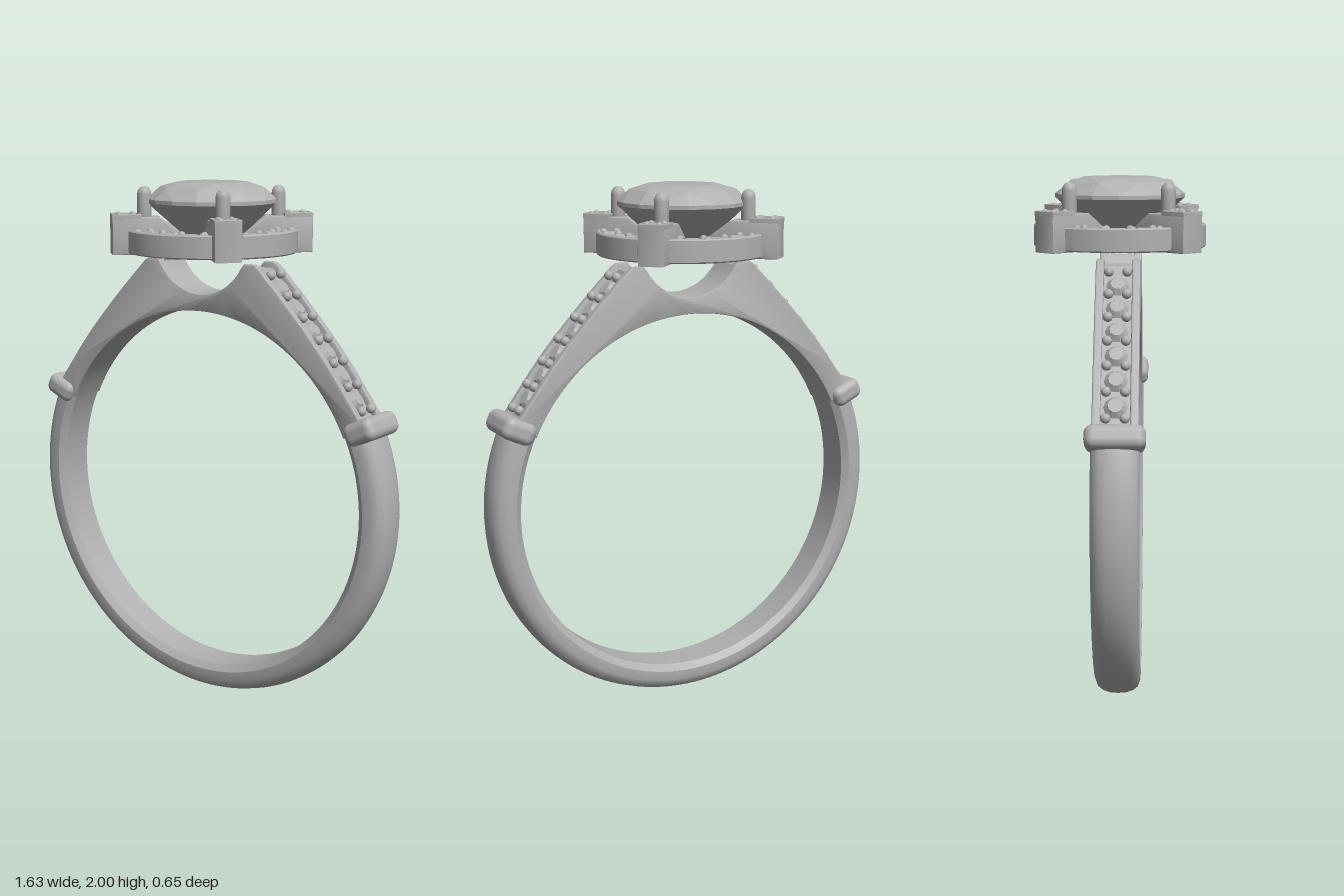
import * as THREE from 'three';
import { toCreasedNormals } from 'three/addons/utils/BufferGeometryUtils.js';
import { RoundedBoxGeometry } from 'three/addons/geometries/RoundedBoxGeometry.js';
import { ConvexGeometry } from 'three/addons/geometries/ConvexGeometry.js';

const CY = 0.815, INNER = 0.705, OUTER = 0.815, JOIN = THREE.MathUtils.degToRad(25);
const v2 = (x, y) => new THREE.Vector2(x, y);

export function createModel() {
  const ring = new THREE.Group();
  ring.name = 'ring';
  const metal = new THREE.MeshStandardMaterial({ color: 0xb0b0b0 });
  metal.name = 'grey metal';

  const add = (parent, name, geometry, x = 0, y = 0, z = 0) => {
    const mesh = new THREE.Mesh(geometry, metal);
    mesh.name = name;
    mesh.position.set(x, y, z);
    parent.add(mesh);
    return mesh;
  };
  const group = (parent, name) => {
    const g = new THREE.Group();
    g.name = name;
    parent.add(g);
    return g;
  };
  const extrude = (shape, depth, bevel) => {
    const g = new THREE.ExtrudeGeometry(shape, {
      depth: depth - 2 * bevel, bevelEnabled: bevel > 0, bevelSize: bevel,
      bevelThickness: bevel, bevelOffset: -bevel, bevelSegments: 2, curveSegments: 48,
    });
    g.translate(0, 0, bevel - depth / 2);
    return toCreasedNormals(g, 0.6);
  };
  const beadGeo = new THREE.SphereGeometry(0.018, 12, 8);
  const stoneGeo = toCreasedNormals(new THREE.CylinderGeometry(0.026, 0.043, 0.02, 10), 0.3);

  // Lower band: rounded section swept between the two collars
  const section = [[0.012, -0.075], [0.025, -0.085], [0.06, -0.085], [0.085, -0.075], [0.1, -0.055],
    [0.108, -0.03], [0.11, 0]];
  const profile = section.map(([r, h]) => v2(INNER + r, h));
  profile.push(...section.slice(0, -1).reverse().map(([r, h]) => v2(INNER + r, -h)));
  profile.push(v2(INNER, 0.065), v2(INNER, -0.065), profile[0].clone());
  const sweep = Math.PI / 2 + JOIN;
  const band = toCreasedNormals(new THREE.LatheGeometry(profile, 96, -sweep, 2 * sweep), 0.6);
  band.rotateX(Math.PI / 2);
  add(ring, 'band', band, 0, CY, 0);

  // Raised shoulders: a sunken core between two side rails
  const edge = new THREE.SplineCurve([v2(0.725, 1.16), v2(0.565, 1.375), v2(0.41, 1.55), v2(0.262, 1.7)]);
  const shoulderShape = (drop) => {
    const right = edge.getPoints(16).map((p) => v2(p.x - drop * 0.72, p.y - drop * 0.7));
    right.push(v2(0.245, 1.71 - drop), v2(0.2, 1.71 - drop));
    const scoop = [];
    for (let i = 1; i < 24; i++) {
      const a = -0.43 - (Math.PI - 0.86) * (i / 24);
      scoop.push(v2(0.215 * Math.cos(a), 1.8 + 0.215 * Math.sin(a)));
    }
    const left = right.map((p) => v2(-p.x, p.y)).reverse();
    const inner = [];
    for (let i = 0; i <= 48; i++) {
      const a = Math.PI - JOIN - (Math.PI - 2 * JOIN) * (i / 48);
      inner.push(v2(INNER * Math.cos(a), CY + INNER * Math.sin(a)));
    }
    return new THREE.Shape([...right, ...scoop, ...left, ...inner]);
  };
  add(ring, 'shoulderCore', extrude(shoulderShape(0.022), 0.12, 0));
  for (const s of [-1, 1]) add(ring, 'shoulderRail', extrude(shoulderShape(0), 0.03, 0.007), 0, 0, s * 0.066);

  for (const s of [-1, 1]) {
    // Collars
    const collar = add(ring, 'collar', new RoundedBoxGeometry(0.13, 0.085, 0.212, 4, 0.032),
      s * 0.782 * Math.cos(JOIN), CY + 0.782 * Math.sin(JOIN), 0);
    collar.rotation.z = s * JOIN;

    // Stones and gripping beads set along each shoulder
    const row = group(ring, 'shoulderStones');
    for (let i = 0; i < 13; i++) {
      const t = 0.09 + i * 0.071;
      const p = edge.getPointAt(t), d = edge.getTangentAt(t);
      const nx = d.y, ny = -d.x;
      if (i % 2) {
        const stone = add(row, 'stone', stoneGeo, s * (p.x - nx * 0.013), p.y - ny * 0.013, 0);
        stone.rotation.z = -s * Math.atan2(nx, ny);
      } else {
        for (const z of [-0.033, 0.033]) add(row, 'bead', beadGeo, s * p.x, p.y, z);
      }
    }
  }

  // Halo plate with a raised rim
  const head = group(ring, 'head');
  const plate = [[0.035, 1.74], [0.32, 1.74], [0.325, 1.745], [0.325, 1.822], [0.32, 1.827], [0.308, 1.827],
    [0.308, 1.81], [0.2, 1.81], [0.06, 1.79], [0.035, 1.74]].map(([r, y]) => v2(r, y));
  add(head, 'haloPlate', toCreasedNormals(new THREE.LatheGeometry(plate, 64), 0.5));

  // Four quarters: halo stones, then a radial block with its claw
  const block = new THREE.Shape([[0.1, 1.755], [0.25, 1.755], [0.265, 1.735], [0.38, 1.735], [0.38, 1.873],
    [0.2, 1.873], [0.1, 1.8]].map(([r, y]) => v2(r, y)));
  const blockGeo = extrude(block, 0.1, 0.006);
  const rect = (w, h) => [v2(-w, -h), v2(w, -h), v2(w, h), v2(-w, h)];
  const frame = new THREE.Shape(rect(0.055, 0.05));
  frame.holes.push(new THREE.Path(rect(0.045, 0.04)));
  const frameGeo = extrude(frame, 0.02, 0.003).rotateX(-Math.PI / 2);
  const claw = [[0, 1.8], [0.027, 1.8], [0.027, 1.955], [0.024, 1.97], [0.015, 1.982], [0, 1.986]]
    .map(([r, y]) => v2(r, y));
  const clawGeo = new THREE.LatheGeometry(claw, 16);

  for (let q = 0; q < 4; q++) {
    const quarter = group(head, 'headQuarter');
    quarter.rotation.y = q * Math.PI / 2;
    for (const deg of [-20, 0, 20]) {
      const a = THREE.MathUtils.degToRad(deg);
      add(quarter, 'haloStone', stoneGeo, 0.272 * Math.cos(a), 1.815, 0.272 * Math.sin(a));
    }
    for (const deg of [-30, -10, 10, 30]) {
      const a = THREE.MathUtils.degToRad(deg);
      for (const r of [0.248, 0.298]) add(quarter, 'haloBead', beadGeo, r * Math.cos(a), 1.82, r * Math.sin(a)).scale.setScalar(0.8);
    }
    const arm = group(quarter, 'prongArm');
    arm.rotation.y = Math.PI / 4;
    add(arm, 'block', blockGeo);
    add(arm, 'blockFrame', frameGeo, 0.325, 1.875, 0);
    const stone = add(arm, 'blockStone', stoneGeo, 0.325, 1.874, 0);
    stone.scale.set(0.8, 0.8, 0.8);
    for (const x of [0.298, 0.352]) for (const z of [-0.024, 0.024]) {
      add(arm, 'blockBead', beadGeo, x, 1.88, z).scale.setScalar(0.65);
    }
    add(arm, 'claw', clawGeo, 0.255, 0, 0);
  }

  // Faceted centre gem: table, crown, girdle, pavilion and point
  const points = [new THREE.Vector3(0, 1.71, 0)];
  const circle = (n, r, y, turn) => {
    for (let i = 0; i < n; i++) {
      const a = (i + turn) / n * Math.PI * 2;
      points.push(new THREE.Vector3(r * Math.cos(a), y, r * Math.sin(a)));
    }
  };
  circle(8, 0.135, 2, 0);
  circle(8, 0.2, 1.982, 0.5);
  circle(16, 0.245, 1.938, 0);
  circle(16, 0.245, 1.924, 0);
  circle(8, 0.15, 1.832, 0.5);
  add(head, 'centreGem', new ConvexGeometry(points));

  return ring;
}
